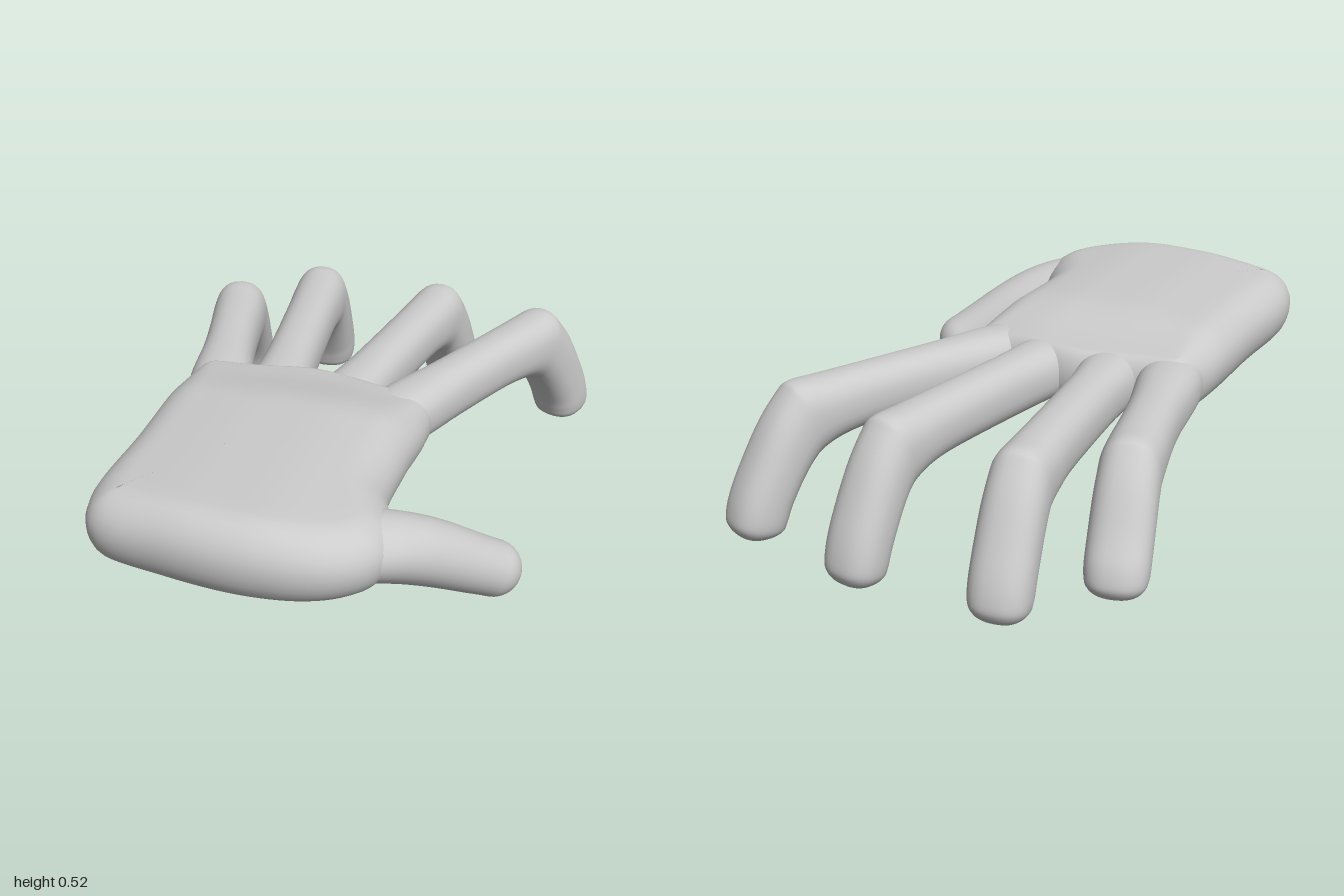
import * as THREE from 'three';

const V = (x, y, z) => new THREE.Vector3(x, y, z);
const smooth = THREE.MathUtils.smoothstep;
const material = new THREE.MeshStandardMaterial({ color: 0xcccccc, roughness: 0.7 });

// Skin a list of closed rings (all the same length); winding is fixed by signed volume.
function loft(name, rings) {
  const n = rings[0].length, points = rings.flat(), index = [];
  for (let i = 0; i < rings.length - 1; i++) {
    for (let j = 0; j < n; j++) {
      const a = i * n + j, b = i * n + (j + 1) % n;
      index.push(a, b, a + n, b, b + n, a + n);
    }
  }
  let volume = 0;
  const cross = V(0, 0, 0);
  for (let i = 0; i < index.length; i += 3) {
    cross.crossVectors(points[index[i + 1]], points[index[i + 2]]);
    volume += points[index[i]].dot(cross);
  }
  if (volume < 0) index.reverse();
  const geometry = new THREE.BufferGeometry().setFromPoints(points);
  geometry.setIndex(index);
  geometry.computeVertexNormals();
  const mesh = new THREE.Mesh(geometry, material);
  mesh.name = name;
  return mesh;
}

// Rounded ring about a centre, spanned by two half-axes.
function ring(center, u, v, power = 1, n = 32) {
  const soft = (t) => Math.sign(t) * Math.abs(t) ** power;
  return Array.from({ length: n }, (_, j) => {
    const a = (j / n) * Math.PI * 2;
    return center.clone().addScaledVector(u, soft(Math.cos(a))).addScaledVector(v, soft(Math.sin(a)));
  });
}

// Palm: plan outline with a fully rounded rim and a gently domed back.
function palm() {
  const outline = [
    [-0.51, 0.12], [-0.51, 0.5], [-0.507, 0.82], [-0.46, 0.92], [-0.25, 0.975], [0, 1],
    [0.18, 0.975], [0.29, 0.92], [0.36, 0.84], [0.375, 0.74], [0.335, 0.63], [0.295, 0.53],
    [0.29, 0.3], [0.295, 0.1], [0.27, -0.03], [0.1, -0.05], [-0.11, -0.085], [-0.32, -0.05], [-0.47, -0.02],
  ];
  const curve = new THREE.CatmullRomCurve3(outline.map(([x, z]) => V(x, 0, z)), true);
  const n = 120, middle = V(-0.1, 0, 0.45);
  const edge = [], inward = [];
  for (let j = 0; j < n; j++) {
    const t = curve.getTangentAt(j / n);
    edge.push(curve.getPointAt(j / n));
    inward.push(V(t.z, 0, -t.x));
  }
  // rise runs from -1 (underside) to 1 (back of the hand); the rim is tighter below and at the fingers
  const layer = (inset, scale, rise) => edge.map((p, j) => {
    const rim = 0.05 + (rise < 0 ? 0.03 : 0.065) * smooth(p.z, -0.05, 0.2);
    const q = p.clone().addScaledVector(inward[j], inset * rim);
    q.sub(middle).multiplyScalar(scale).add(middle);
    const top = 0.472 + 0.053 * smooth(q.z, -0.04, 0.28)
      - 0.035 * smooth(q.x, 0, 0.4) - 0.02 * smooth(-q.x, 0.15, 0.5) * smooth(q.z, 0, 0.3);
    const bottom = 0.285;
    return q.setY((top + bottom) / 2 + rise * (top - bottom) / 2);
  });
  const rings = [], fill = 10, round = 14;
  for (let i = 0; i < fill; i++) rings.push(layer(1, i / fill, -1));
  for (let i = 0; i <= round; i++) {
    const a = (i / round - 0.5) * Math.PI;
    rings.push(layer(1 - Math.cos(a), 1, Math.sin(a)));
  }
  for (let i = fill - 1; i >= 0; i--) rings.push(layer(1, i / fill, 1));
  return loft('palm', rings);
}

// Finger: straight out of the palm, then bent down sharply at the knuckle.
// x0 and lean give its line in plan, knuckle its z, drop the length of the bent part.
function finger(name, x0, lean, knuckle, drop) {
  // outer z, outer y, inner z, inner y (z relative to knuckle), half width
  const sections = [
    [0.2 - knuckle, 0.455, 0.2 - knuckle, 0.295, 0.09],
    [-knuckle, 0.47, -knuckle, 0.287, 0.1],
    [-0.2 - knuckle, 0.47, -0.2 - knuckle, 0.285, 0.086],
    [0.25, 0.47, 0.27, 0.284, 0.084],
    [0.1, 0.47, 0.15, 0.272, 0.088],
    [0.015, 0.47, 0.08, 0.245, 0.089],
    [-0.02, 0.445, 0.045, 0.215, 0.09],
    [-0.09, 0.35, 0.01, 0.165, 0.092],
    [-0.17, 0.19, -0.03, 0.09, 0.093],
    [-0.203, 0.085, -0.045, 0.05, 0.091],
    [-0.198, 0.04, -0.058, 0.02, 0.08],
    [-0.17, 0.01, -0.09, 0.004, 0.05],
    [-0.13, 0.0, -0.13, 0.0, 0],
  ];
  const outer = new THREE.CatmullRomCurve3(sections.map((s) => V(s[0], s[1], s[4])), false, 'catmullrom');
  const inner = new THREE.CatmullRomCurve3(sections.map((s) => V(s[2], s[3], 0)), false, 'catmullrom');
  const side = V(1, 0, lean).normalize();
  const place = (p) => {
    const z = knuckle + p.x;
    return V(x0 - lean * z, 0.47 - (0.47 - p.y) * (1 + (drop - 1) * smooth(-p.y, -0.3, -0.1)), z);
  };
  const rings = [], steps = 60;
  for (let i = 0; i <= steps; i++) {
    const o = outer.getPoint(i / steps), width = Math.max(0, o.z);
    const a = place(o), b = place(inner.getPoint(i / steps));
    const center = a.clone().add(b).multiplyScalar(0.5);
    rings.push(ring(center, side.clone().multiplyScalar(width), a.sub(center), 0.85));
  }
  return loft(name, rings);
}

// Thumb: tapering out of the palm's rim, down and forward, with a round tip.
function thumb() {
  // x, y, z, half width in plan, half height
  const path = [
    [0.08, 0.395, 0.84, 0.09, 0.07], [0.2, 0.39, 0.79, 0.115, 0.095], [0.29, 0.378, 0.735, 0.122, 0.1],
    [0.38, 0.347, 0.672, 0.11, 0.1], [0.46, 0.3, 0.605, 0.1, 0.097],
    [0.54, 0.243, 0.537, 0.091, 0.09], [0.6, 0.2, 0.485, 0.085, 0.085],
  ];
  const line = new THREE.CatmullRomCurve3(path.map(([x, y, z]) => V(x, y, z)), false, 'catmullrom');
  const radii = new THREE.SplineCurve(path.map((p) => new THREE.Vector2(p[3], p[4])));
  const along = V(0.3, -0.18, -0.26).normalize();
  const u = along.clone().cross(V(0, 1, 0)).normalize(), v = u.clone().cross(along);
  const disc = (center, a, b) => ring(center, u.clone().multiplyScalar(a), v.clone().multiplyScalar(b));
  const rings = [disc(line.getPoint(0), 0, 0)];
  for (let i = 0; i <= 24; i++) {
    const r = radii.getPoint(i / 24);
    rings.push(disc(line.getPoint(i / 24), r.x, r.y));
  }
  for (let i = 1; i <= 10; i++) {
    const a = (i / 10) * Math.PI / 2, r = 0.085 * Math.cos(a);
    rings.push(disc(line.getPoint(1).addScaledVector(along, 0.085 * Math.sin(a)), r, r));
  }
  return loft('thumb', rings);
}

export function createModel() {
  const hand = new THREE.Group();
  hand.name = 'hand';
  hand.add(
    palm(),
    thumb(),
    finger('indexFinger', 0.19, 0.45, -0.69, 0.98),
    finger('middleFinger', 0, 0.155, -0.78, 1),
    finger('ringFinger', -0.225, -0.125, -0.797, 0.96),
    finger('littleFinger', -0.42, -0.24, -0.595, 0.87),
  );
  return hand;
}
